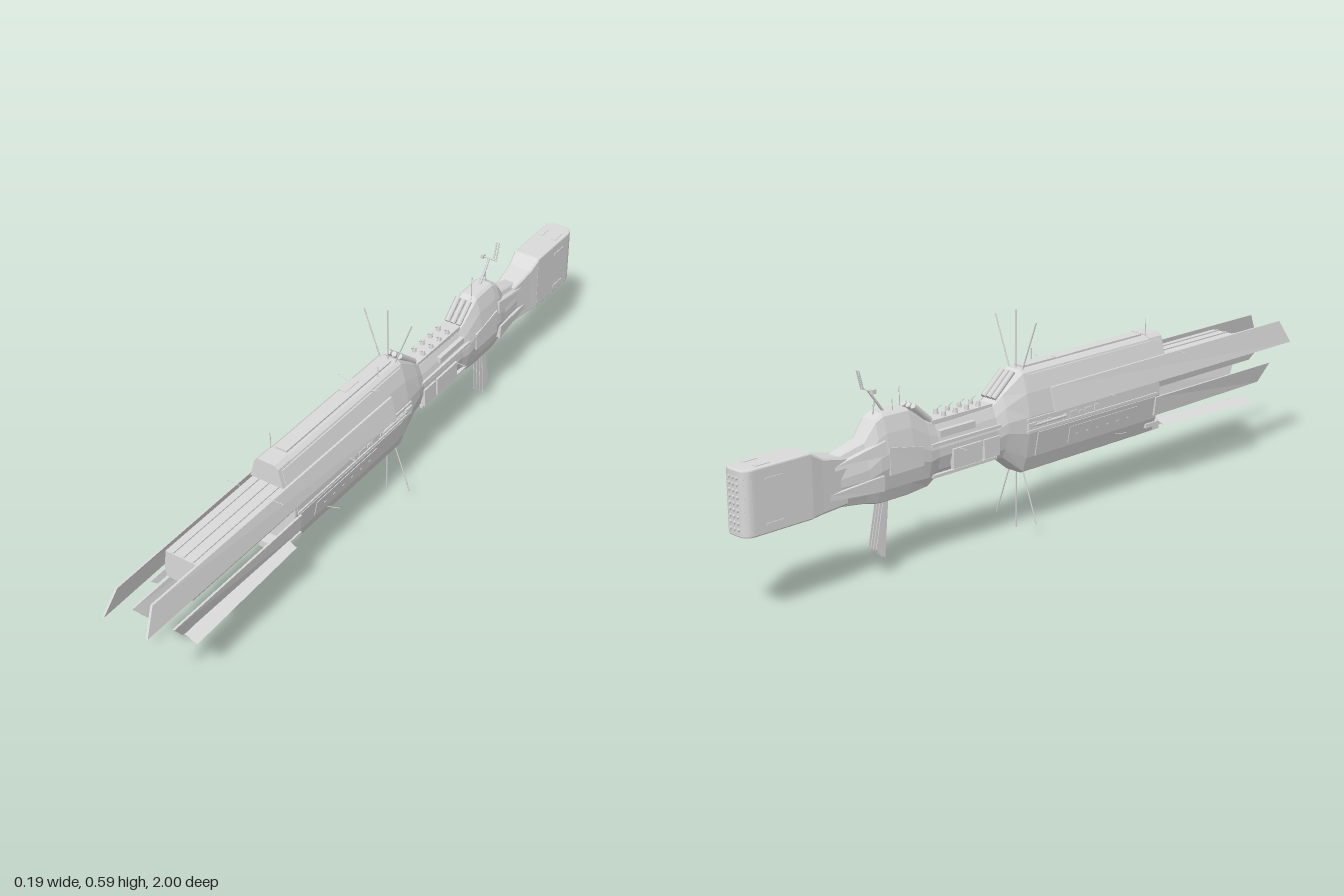
import * as THREE from 'three';

const hull = new THREE.MeshStandardMaterial({ color: 0xdadada });
hull.name = 'hullGrey';

// Half outline of the armoured hull, bottom to top, as [width share, height share]
const OUTLINE = [[.42, 0], [.57, .02], [.78, .16], [1, .41], [1, .57], [.83, .79], [.58, .97], [.42, 1]];

export function createModel() {
  const root = new THREE.Group();

  function add(name, geo, x = 0, y = 0, z = 0) {
    const mesh = new THREE.Mesh(geo, hull);
    mesh.name = name;
    mesh.position.set(x, y, z);
    root.add(mesh);
    return mesh;
  }
  const box = (name, w, h, d, x, y, z) => add(name, new THREE.BoxGeometry(w, h, d), x, y, z);

  // Skin over closed rings, ordered back to front, with capped ends
  function loft(name, rings) {
    const out = [], n = rings[0].length, f = rings[rings.length - 1], b = rings[0];
    for (let r = 0; r < rings.length - 1; r++)
      for (let i = 0; i < n; i++) {
        const j = (i + 1) % n, p = rings[r], q = rings[r + 1];
        out.push(p[i], p[j], q[j], p[i], q[j], q[i]);
      }
    for (let i = 1; i < n - 1; i++) out.push(f[0], f[i], f[i + 1], b[0], b[i + 1], b[i]);
    const g = new THREE.BufferGeometry();
    g.setAttribute('position', new THREE.Float32BufferAttribute(out.flat(), 3));
    g.computeVertexNormals();
    return add(name, g);
  }
  const mirrorRing = (half, z) => [...half.map(([x, y]) => [x, y, z]), ...half.map(([x, y]) => [-x, y, z]).reverse()];
  const section = ([z, lo, hi, w]) => mirrorRing(OUTLINE.map(([a, t]) => [a * w, lo + t * (hi - lo)]), z);

  // Mirrored pair of slabs; corners are [x, y, z] on the outer face
  function panels(name, botBack, topBack, botFront, topFront, thick = .005) {
    for (const s of [1, -1]) {
      const ring = (b, t) => {
        const r = [b, t, [t[0] - thick, t[1], t[2]], [b[0] - thick, b[1], b[2]]].map(([x, y, z]) => [x * s, y, z]);
        return s > 0 ? r : r.reverse();
      };
      loft((s > 0 ? 'left' : 'right') + name, [ring(botBack, topBack), ring(botFront, topFront)]);
    }
  }

  // Straight rod between two points
  function rod(name, a, b, r = .0015, tip = r) {
    const p = new THREE.Vector3(...a), q = new THREE.Vector3(...b), d = q.clone().sub(p);
    const m = add(name, new THREE.CylinderGeometry(tip, r, d.length(), 6));
    m.position.copy(p).add(q).multiplyScalar(.5);
    m.quaternion.setFromUnitVectors(new THREE.Vector3(0, 1, 0), d.normalize());
  }
  const pair = (name, a, b, r) => [1, -1].forEach(s => rod(name, [a[0] * s, a[1], a[2]], [b[0] * s, b[1], b[2]], r));

  // Hull skin width at a given height of the front section
  function skin(y) {
    const t = (y - .16) / .28;
    const i = Math.max(1, OUTLINE.findIndex(o => o[1] >= t));
    const [a, b] = [OUTLINE[i - 1], OUTLINE[i]];
    return .061 * (a[0] + (b[0] - a[0]) * (t - a[1]) / (b[1] - a[1]));
  }
  function skinPanels(name, z0, z1, y0, y1, lift = .003) {
    const [a, b] = [skin(y0) + lift, skin(y1) + lift];
    panels(name, [a, y0, z0], [b, y1, z0], [a, y0, z1], [b, y1, z1], .007);
  }

  // Main body: rear taper, bridge bulge, neck and forward hull
  loft('mainHull', [
    [-.83, .222, .345, .030], [-.70, .215, .345, .031], [-.62, .205, .365, .040], [-.585, .197, .41, .046],
    [-.56, .195, .422, .047], [-.48, .195, .42, .047], [-.42, .20, .375, .046], [-.39, .218, .36, .043],
    [-.19, .218, .365, .045], [-.16, .215, .39, .052], [-.09, .16, .438, .061], [.42, .16, .438, .061],
  ].map(section));

  // Bow cap, and the ridged deck between the long blades
  loft('bowCap', [.40, .452].map(z => mirrorRing([[.05, .38], [.036, .432], [.026, .442]], z)));
  box('bowKeel', .06, .02, .06, 0, .172, .425);
  loft('forwardCore', [.40, .785].map(z => mirrorRing([[.050, .292], [.056, .315], [.050, .372]], z)));
  for (const x of [-.03, 0, .03]) box('deckRidge', .006, .005, .37, x, .373, .597);

  // Long blades reaching ahead of the bow
  panels('UpperBlade', [.077, .318, -.01], [.061, .382, -.01], [.068, .316, 1], [.055, .384, .96], .006);
  panels('InnerBlade', [.058, .294, .40], [.062, .312, .40], [.056, .294, .82], [.060, .312, .84], .005);
  panels('MiddleBlade', [.060, .216, .40], [.067, .27, .40], [.055, .218, .865], [.066, .27, .905], .006);
  panels('LowerBlade', [.070, .185, .43], [.040, .200, .43], [.066, .165, .83], [.036, .180, .83], .006);
  for (const s of [1, -1]) box('bladeBracket', .01, .012, .08, s * .044, .187, .42);

  // Raised armour, edge strips and recessed side trench details
  skinPanels('UpperArmour', -.08, .44, .385, .425);
  skinPanels('LowerArmour', -.06, .40, .205, .272);
  skinPanels('HatchPanel', .06, .33, .215, .26, .005);
  skinPanels('TrenchFloor', -.10, .41, .284, .309, .001);
  skinPanels('TrenchUpperRail', -.10, .41, .309, .315, .004);
  skinPanels('TrenchLowerRail', -.10, .41, .276, .283, .004);
  for (const s of [1, -1]) {
    for (let i = 0; i < 9; i++)
      box('trenchBlock', .006, .008 + (i % 3) * .004, .014 + (i % 2) * .016, s * .062, .295, -.08 + i * .03);
    rod('trenchGun', [s * .064, .295, -.08], [s * .065, .296, .04], .004);
    box('gunMount', .01, .016, .03, s * .062, .295, -.085);
    for (let i = 0; i < 6; i++) box('armourStud', .003, .003, .008, s * (skin(.235) + .005), .235, .09 + i * .04);
  }

  // Spine and keel strips
  box('spineDeck', .034, .005, .46, 0, .441, .16);
  box('spineHatch', .022, .004, .06, -.012, .443, .08);
  box('keelStrip', .034, .004, .44, 0, .16, .16);
  for (let i = 0; i < 5; i++) box('keelBlock', .014, .005, .03, 0, .158, -.04 + i * .09);

  // Launch tubes set into the slope behind the hull, and at the front of the bulge
  for (const x of [-.018, 0, .018]) {
    rod('slopeTube', [x, .378, -.18], [x, .436, -.11], .008);
    rod('deckTube', [x, .37, -.40], [x, .418, -.455], .008);
  }

  // Neck deck with turrets, conduits and side boxes
  box('neckDeck', .05, .012, .21, 0, .363, -.295);
  for (let i = 0; i < 4; i++)
    for (const x of [-.014, .014]) {
      const z = -.23 - i * .04;
      add('deckTurret', new THREE.CylinderGeometry(.005, .007, .014, 8), x, .375, z);
      rod('turretBarrel', [x, .38, z], [x, .388, z + .018], .0015);
    }
  for (const s of [1, -1]) {
    box('neckBox', .012, .052, .10, s * .044, .263, -.30);
    box('neckBoxRear', .012, .052, .055, s * .044, .263, -.215);
    box('neckRail', .010, .008, .24, s * .043, .312, -.30);
    box('neckLowerRail', .010, .008, .22, s * .036, .228, -.30);
    box('neckShoulder', .012, .018, .12, s * .039, .336, -.33);
  }

  // Rear buttresses spreading from the bulge to the tail
  panels('UpperButtress', [.034, .315, -.72], [.032, .325, -.72], [.050, .325, -.57], [.047, .36, -.57], .014);
  panels('LowerButtress', [.034, .245, -.74], [.034, .258, -.74], [.049, .235, -.58], [.051, .275, -.58], .014);
  panels('BulgePlate', [.050, .27, -.56], [.048, .34, -.56], [.050, .27, -.45], [.049, .32, -.45], .006);

  // Tail block: taper into a slab with rounded rear corners
  const w = .041, r = .03, plan = new THREE.Shape();
  plan.moveTo(-w + .004, .80).lineTo(w - .004, .80).lineTo(w - .004, .995 - r)
    .quadraticCurveTo(w - .004, .991, w - r, .991).lineTo(r - w, .991)
    .quadraticCurveTo(.004 - w, .991, .004 - w, .995 - r);
  const tail = new THREE.ExtrudeGeometry(plan, { depth: .157, bevelThickness: .004, bevelSize: .004, bevelSegments: 2, curveSegments: 8 });
  add('tailBlock', tail.rotateX(-Math.PI / 2), 0, .22, 0);
  loft('tailTaper', [[-.80, .216, .381, .041], [-.76, .218, .358, .036], [-.68, .22, .34, .029]]
    .map(([z, lo, hi, x]) => mirrorRing([[x - .004, lo], [x, lo + .005], [x, hi - .005], [x - .004, hi]], z)));
  for (const s of [1, -1]) {
    for (const y of [.24, .35]) box('tailVent', .004, .006, .05, s * .041, y, -.91);
    box('tailHatch', .012, .003, .04, s * .022, .381, -.93);
  }

  // Engine nozzles in a grid on the rear
  for (let i = 0; i < 5; i++)
    for (let j = 0; j < 9; j++) {
      const x = (i - 2) * .014, back = Math.abs(i - 2) === 2 ? -.985 : -.996;
      const n = add('nozzle', new THREE.CylinderGeometry(.0045, .0045, .008, 8), x, .235 + j * .0157, back);
      n.rotation.x = Math.PI / 2;
    }

  // Ring of long antennae around the hull
  rod('topAntenna', [0, .43, -.08], [0, .592, -.08], .002);
  rod('bottomAntenna', [0, .17, -.08], [0, 0, -.08], .002);
  pair('upperAntenna', [.022, .43, -.08], [.074, .57, -.08], .0018);
  pair('lowerAntenna', [.022, .17, -.08], [.074, .026, -.08], .0018);

  // Short whiskers on the flanks and spine
  pair('whisker', [.045, .38, .5], [.087, .38, .5], .001);
  pair('whisker', [.055, .322, .2], [.094, .322, .2], .001);
  pair('whisker', [.055, .293, -.34], [.088, .293, -.34], .001);
  pair('whisker', [.040, .19, .26], [.083, .203, .26], .001);
  pair('whisker', [.03, .425, .05], [.065, .441, .05], .001);
  rod('bowWhisker', [-.024, .43, .40], [-.024, .49, .40], .0012);
  rod('spineWhisker', [.024, .43, 0], [.024, .47, 0], .0012);
  rod('bulgeWhisker', [.015, .41, -.47], [.015, .465, -.47], .0012);
  rod('bulgeWhisker', [-.015, .41, -.52], [-.015, .45, -.52], .0012);

  // Sensor mast on the bulge
  rod('mast', [0, .41, -.53], [0, .482, -.585], .004, .003);
  rod('mastBrace', [0, .415, -.57], [0, .455, -.565], .002);
  rod('mastYard', [-.02, .482, -.585], [.024, .482, -.585], .002);
  box('mastPod', .009, .011, .012, -.021, .482, -.585);
  for (const x of [.013, .021]) rod('mastAerial', [x, .48, -.587], [x, .53, -.60], .002);

  // Hanging radiator fins beneath the bulge
  for (const x of [-.015, -.005, .005, .014]) {
    const edge = (low, zLow, zHigh) => [[x + .001, low, zLow], [x + .001, .205, zHigh], [x - .001, .205, zHigh], [x - .001, low, zLow]];
    loft('radiatorFin', [edge(.075, -.583, -.556), edge(.045, -.555, -.54)]);
  }

  return root;
}
